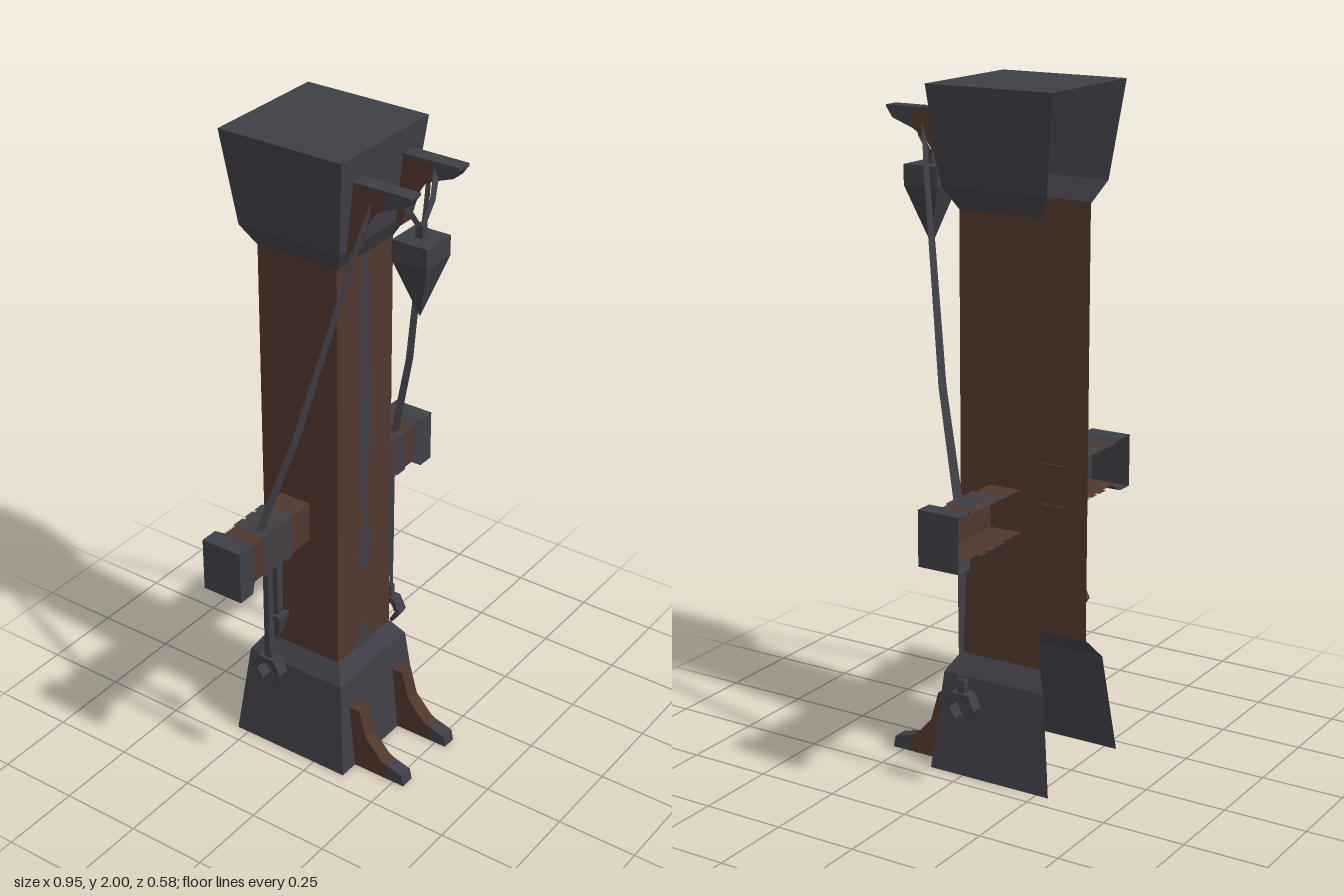
import * as THREE from 'three';

const mat = (name, color) => {
  const m = new THREE.MeshStandardMaterial({ color, side: THREE.DoubleSide, flatShading: true });
  m.name = name;
  return m;
};

export function createModel() {
  const root = new THREE.Group();
  root.name = 'woodenPost';
  const wood = mat('brown wood', 0x50372c);
  const iron = mat('grey iron', 0x3f3e46);

  const add = (name, geo, material, x = 0, y = 0, z = 0, parent = root) => {
    const m = new THREE.Mesh(geo, material);
    m.name = name;
    m.position.set(x, y, z);
    parent.add(m);
    return m;
  };

  // Skin an open strip of cross-sections with flat quads
  const loft = (rows) => {
    const pos = [];
    for (let i = 0; i < rows.length - 1; i++) {
      for (let j = 0; j < rows[i].length - 1; j++) {
        const a = rows[i][j], b = rows[i][j + 1], c = rows[i + 1][j + 1], d = rows[i + 1][j];
        pos.push(...a, ...b, ...c, ...a, ...c, ...d);
      }
    }
    const g = new THREE.BufferGeometry();
    g.setAttribute('position', new THREE.Float32BufferAttribute(pos, 3));
    g.computeVertexNormals();
    return g;
  };

  // Upright channel, open at the back: [half width, front z, back z, y]
  const upright = (levels) => loft(levels.map(([h, f, b, y]) =>
    [[-h, y, b], [-h, y, f], [h, y, f], [h, y, b]]));

  // Sideways channel, open at the back: [x, bottom, top, front z, back z]
  const sideways = (s, levels) => loft(levels.map(([x, y0, y1, f, b]) => {
    const p = [[s * x, y0, b], [s * x, y0, f], [s * x, y1, f], [s * x, y1, b]];
    return s > 0 ? p.reverse() : p;
  }));

  // Flat shape from [x, y] points
  const shape = (pts) => new THREE.Shape(pts.map(([x, y]) => new THREE.Vector2(x, y)));

  // Side profile [z, y], extruded across x and centred
  const sideProfile = (pts, width) => {
    const g = new THREE.ExtrudeGeometry(shape(pts), { depth: width, bevelEnabled: false });
    g.translate(0, 0, -width / 2);
    g.rotateY(-Math.PI / 2);
    return g;
  };

  // Post, base and head
  add('post', upright([[0.132, 0.045, -0.22, 0.35], [0.132, 0.045, -0.22, 1.66]]), wood);
  add('base', upright([[0.2, 0.11, -0.29, 0], [0.17, 0.08, -0.255, 0.3], [0.132, 0.046, -0.22, 0.355]]), iron);
  add('head', upright([[0.132, 0.046, -0.22, 1.655], [0.168, 0.08, -0.255, 1.72], [0.2, 0.11, -0.29, 2]]), iron);
  const lid = new THREE.PlaneGeometry(0.4, 0.4);
  lid.rotateX(-Math.PI / 2);
  add('headTop', lid, iron, 0, 2, -0.09);

  // Grey marks running down the front of the post
  add('longMark', new THREE.ShapeGeometry(shape([
    [-0.03, 0.62], [0.02, 0.62], [0.03, 0.75], [0.01, 0.8], [0.012, 0.95], [0.025, 1.05], [0.03, 1.2],
    [0.016, 1.35], [0.015, 1.55], [0.005, 1.65], [-0.02, 1.65], [-0.03, 1.5], [-0.025, 1.3],
    [-0.03, 0.95], [-0.01, 0.8], [-0.038, 0.7],
  ])), iron, 0, 0, 0.048);
  add('lowMark', new THREE.ShapeGeometry(shape([
    [-0.05, 0.35], [0.035, 0.35], [0.005, 0.42], [-0.015, 0.45],
  ])), iron, 0, 0, 0.048);

  // Flat strap following points, tapering from w0 to w1
  const strap = (name, pts, w0, w1) => {
    const rows = pts.map(([x, y, z], i) => {
      const w = (w0 + (w1 - w0) * i / (pts.length - 1)) / 2;
      return [[x - w, y, z - w * 0.5], [x + w, y, z + w * 0.5]];
    });
    add(name, loft(rows), iron);
  };

  // Open-bottomed claw on a short stem; y is its lowest point
  const claw = (x, y, z) => {
    const g = new THREE.Group();
    g.name = 'claw';
    g.position.set(x, y, z);
    root.add(g);
    const outline = [
      [-0.02, 0], [-0.05, 0.045], [-0.027, 0.09], [0.027, 0.09], [0.05, 0.045], [0.02, 0],
      [0.014, 0.012], [0.033, 0.045], [0.018, 0.07], [-0.018, 0.07], [-0.033, 0.045], [-0.014, 0.012],
    ];
    add('clawJaws', sideProfile(outline, 0.038), iron, 0, 0, 0, g);
    add('clawStem', new THREE.BoxGeometry(0.02, 0.04, 0.024), iron, 0, 0.108, 0, g);
  };

  for (const s of [-1, 1]) {
    const x = s * 0.114;

    // Feet: curved wooden brackets with iron toes
    add('foot', sideProfile([
      [0.07, 0], [0.225, 0], [0.225, 0.05], [0.205, 0.06], [0.15, 0.12], [0.125, 0.21], [0.07, 0.21],
    ], 0.045), wood, x);
    add('footToe', sideProfile([[0.225, 0], [0.287, 0], [0.28, 0.035], [0.225, 0.051]], 0.045), iron, x);

    // Upper brackets with iron tips and top plates
    add('bracket', sideProfile([
      [0.07, 1.715], [0.1, 1.715], [0.125, 1.8], [0.15, 1.84], [0.2, 1.87], [0.2, 1.918], [0.07, 1.918],
    ], 0.044), wood, x);
    add('bracketTip', sideProfile([
      [0.2, 1.869], [0.262, 1.892], [0.28, 1.918], [0.2, 1.918],
    ], 0.045), iron, x);
    add('bracketPlate', new THREE.BoxGeometry(0.047, 0.009, 0.185), iron, x, 1.922, 0.188);

    // Side arms, open at the back, with flared iron ends
    add('arm', sideways(s, [[0.125, 0.755, 0.88, -0.055, -0.155], [0.41, 0.755, 0.88, -0.055, -0.155]]), wood);
    add('armEnd', sideways(s, [
      [0.395, 0.754, 0.881, -0.054, -0.156], [0.42, 0.735, 0.897, -0.04, -0.17], [0.475, 0.735, 0.897, -0.04, -0.17],
    ]), iron);
    const end = new THREE.PlaneGeometry(0.13, 0.162);
    end.rotateY(s * Math.PI / 2);
    add('armEndPlate', end, iron, s * 0.475, 0.816, -0.105);
    for (const [a, b] of [[0.22, 0.255], [0.265, 0.3], [0.31, 0.352]]) {
      add('armBand', sideways(s, [[a, 0.751, 0.884, -0.051, -0.159], [b, 0.751, 0.884, -0.051, -0.159]]), iron);
    }

    // Long straps from the brackets down to the arms
    strap('longStrap', [
      [s * 0.12, 1.925, 0.17], [s * 0.165, 1.75, 0.13], [s * 0.2, 1.56, 0.09],
      [s * 0.275, 1.19, 0.01], [s * 0.335, 0.88, -0.08],
    ], 0.012, 0.026);

    // Short straps holding the weight
    strap('weightStrap', [
      [0, 1.77, 0.225], [s * 0.05, 1.835, 0.225], [s * 0.11, 1.92, 0.2],
    ], 0.014, 0.018);
  }

  // Pointed weight hanging between the brackets
  const weight = (name, half, top, shoulder, tip, px, pz) => {
    const body = new THREE.BoxGeometry(half * 2, top - shoulder, half * 2);
    add(name + 'Body', body, iron, px, (top + shoulder) / 2, pz);
    const point = new THREE.ConeGeometry(half * Math.SQRT2, shoulder - tip, 4, 1, true);
    point.rotateY(Math.PI / 4);
    point.rotateX(Math.PI);
    add(name + 'Point', point, iron, px, (shoulder + tip) / 2, pz);
  };
  weight('weight', 0.056, 1.75, 1.69, 1.515, 0, 0.225);
  add('weightStem', new THREE.BoxGeometry(0.022, 0.04, 0.022), iron, 0, 1.768, 0.225);

  // Tools hanging from the arms
  add('rightHanger', new THREE.BoxGeometry(0.022, 0.32, 0.018), iron, -0.32, 0.61, -0.065);
  claw(-0.32, 0.36, -0.065);
  strap('leftHanger', [[0.292, 0.76, -0.065], [0.3, 0.55, -0.065], [0.305, 0.34, -0.065]], 0.028, 0.01);
  claw(0.297, 0.222, -0.065);
  add('spikeHanger', new THREE.BoxGeometry(0.026, 0.23, 0.02), iron, -0.245, 0.655, -0.09);
  weight('spike', 0.023, 0.55, 0.535, 0.45, -0.245, -0.09);

  return root;
}
